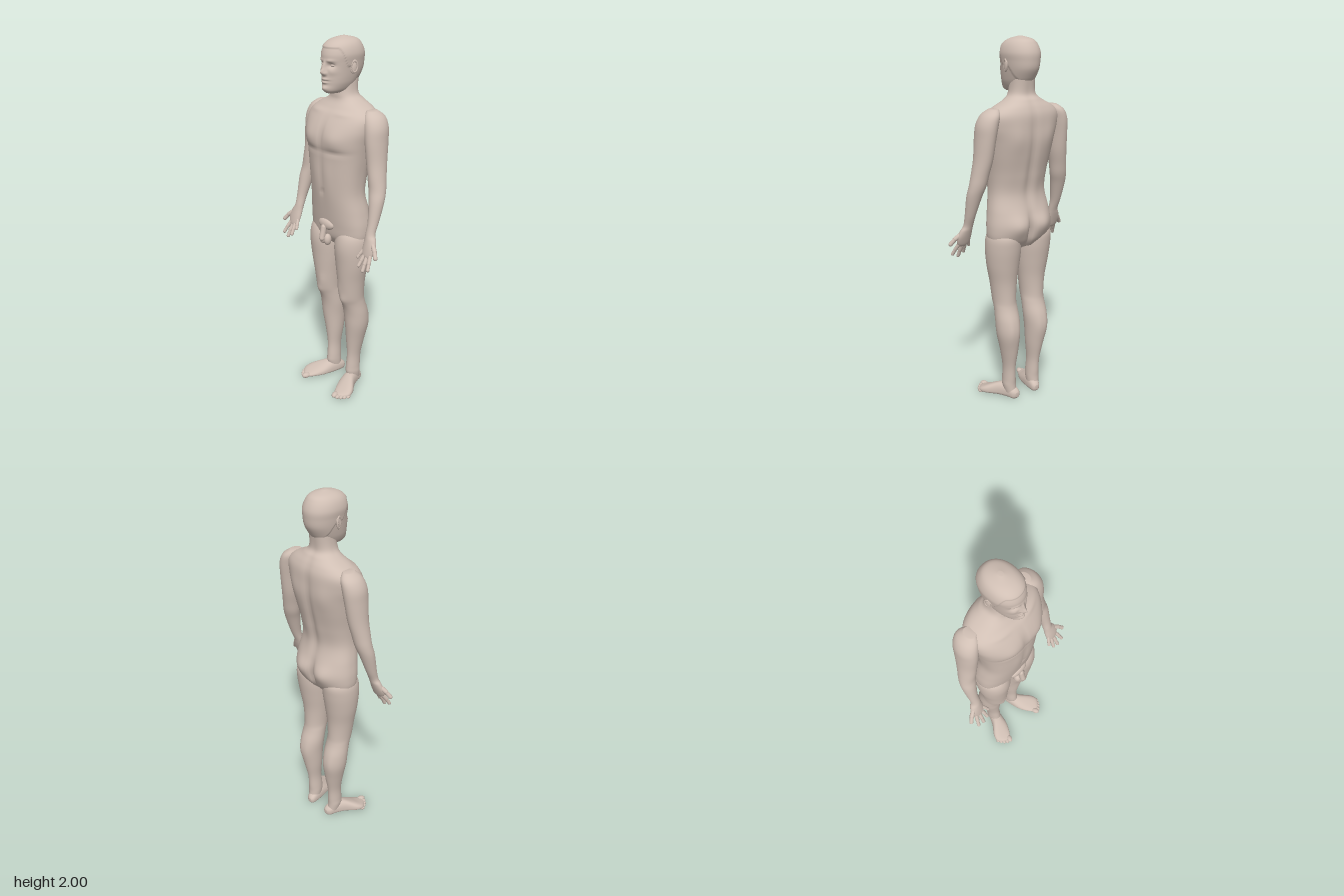
import * as THREE from 'three';

const skin = new THREE.MeshStandardMaterial({ color: 0xd0bfb4 });
skin.name = 'skin';

const spline = (a, b, c, d, t) =>
  0.5 * (2 * b + (c - a) * t + (2 * a - 5 * b + 4 * c - d) * t * t + (3 * b - a - 3 * c + d) * t * t * t);

// Lofts rounded sections [y, centreX, centreZ, halfWidth, frontDepth, backDepth], ordered upwards.
// Bumps [x, y, sizeX, sizeY, push, side] swell or dent the front (1) or the back (-1).
function loft(rows, { power = 2, bumps = [], around = 48, steps = 5 } = {}) {
  const pos = [], index = [];
  const at = (i) => rows[Math.min(Math.max(i, 0), rows.length - 1)];
  const rings = (rows.length - 1) * steps + 1;
  for (let r = 0; r < rings; r++) {
    const i = Math.min(Math.floor(r / steps), rows.length - 2), t = r / steps - i;
    const [y, cx, cz, w, f, b] = rows[0].map((_, k) => spline(at(i - 1)[k], at(i)[k], at(i + 1)[k], at(i + 2)[k], t));
    for (let j = 0; j < around; j++) {
      const a = (j / around) * Math.PI * 2, c = Math.cos(a), s = Math.sin(a);
      const x = cx + w * Math.sign(c) * Math.abs(c) ** (2 / power);
      let z = cz + (s > 0 ? f : b) * Math.sign(s) * Math.abs(s) ** (2 / power);
      for (const [bx, by, sx, sy, push, side] of bumps) {
        const facing = Math.min(1, 2 * Math.max(0, s * side));
        z += side * push * facing * Math.exp(-(((x - bx) / sx) ** 2) - ((y - by) / sy) ** 2);
      }
      pos.push(x, y, z);
    }
  }
  for (let r = 0; r < rings - 1; r++) {
    for (let j = 0; j < around; j++) {
      const a = r * around + j, b = r * around + ((j + 1) % around);
      index.push(a, a + around, b, b, a + around, b + around);
    }
  }
  // end caps
  const low = pos.length / 3, high = low + 1, last = (rings - 1) * around;
  pos.push(rows[0][1], rows[0][0], rows[0][2]);
  const top = rows[rows.length - 1];
  pos.push(top[1], top[0], top[2]);
  for (let j = 0; j < around; j++) {
    const k = (j + 1) % around;
    index.push(low, j, k, high, last + k, last + j);
  }
  const geo = new THREE.BufferGeometry();
  geo.setAttribute('position', new THREE.Float32BufferAttribute(pos, 3));
  geo.setIndex(index);
  geo.computeVertexNormals();
  return geo;
}

function part(parent, name, geo) {
  const mesh = new THREE.Mesh(geo, skin);
  mesh.name = name;
  parent.add(mesh);
  return mesh;
}

function ellipsoid(parent, name, center, radii) {
  const mesh = part(parent, name, new THREE.SphereGeometry(1, 24, 16));
  mesh.position.set(...center);
  mesh.scale.set(...radii);
  return mesh;
}

// Rounded bone between two points
function capsule(parent, name, from, to, radius) {
  const a = new THREE.Vector3(...from), b = new THREE.Vector3(...to), d = b.clone().sub(a);
  const mesh = part(parent, name, new THREE.CapsuleGeometry(radius, d.length(), 6, 14));
  mesh.position.copy(a).add(b).multiplyScalar(0.5);
  mesh.quaternion.setFromUnitVectors(new THREE.Vector3(0, 1, 0), d.normalize());
}

const both = (list) => list.flatMap((b) => [b, [-b[0], ...b.slice(1)]]);

function addTorso(g) {
  part(g, 'torso', loft([
    [0.9, 0, -0.02, 0.15, 0.06, 0.07], [0.95, 0, -0.02, 0.188, 0.095, 0.105],
    [1.02, 0, -0.02, 0.193, 0.108, 0.118], [1.1, 0, -0.015, 0.182, 0.115, 0.112],
    [1.2, 0, 0, 0.165, 0.113, 0.108], [1.3, 0, 0, 0.17, 0.12, 0.125],
    [1.4, 0, -0.01, 0.185, 0.133, 0.138], [1.48, 0, -0.015, 0.2, 0.142, 0.146],
    [1.55, 0, -0.03, 0.215, 0.146, 0.133], [1.61, 0, -0.045, 0.212, 0.13, 0.117],
    [1.65, 0, -0.055, 0.172, 0.105, 0.095], [1.685, 0, -0.055, 0.105, 0.08, 0.075],
    [1.72, 0, -0.048, 0.07, 0.068, 0.06], [1.8, 0, -0.05, 0.062, 0.06, 0.065],
  ], {
    power: 2.3, around: 96, steps: 7,
    bumps: [
      ...both([
        [0.09, 1.5, 0.065, 0.05, 0.013, 1], [0.09, 1.435, 0.07, 0.014, -0.007, 1], // chest
        [0.045, 1.3, 0.03, 0.1, 0.004, 1], [0.1, 1.63, 0.06, 0.012, 0.006, 1], // belly, collarbone
        [0.08, 1.03, 0.06, 0.06, 0.024, -1], [0.1, 1.5, 0.05, 0.08, 0.008, -1], // buttocks, shoulder blades
        [0.045, 1.24, 0.03, 0.1, 0.004, -1],
      ]),
      [0, 1.52, 0.014, 0.07, -0.008, 1], [0, 1.32, 0.01, 0.1, -0.004, 1], [0, 1.21, 0.01, 0.012, -0.008, 1],
      [0, 1.4, 0.022, 0.25, -0.012, -1], [0, 1.0, 0.016, 0.07, -0.03, -1],
    ],
  }));
  // groin
  ellipsoid(g, 'pubicMound', [0, 1.02, 0.085], [0.058, 0.032, 0.022]);
  for (const s of [1, -1]) ellipsoid(g, 'groinSide', [0.017 * s, 0.935, 0.092], [0.02, 0.032, 0.022]);
  capsule(g, 'groinCentre', [0, 1.005, 0.103], [0, 0.945, 0.117], 0.016);
}

function addHead(g) {
  const geo = loft([
    [1.725, 0, 0.03, 0.03, 0.045, 0.06], [1.74, 0, 0, 0.05, 0.092, 0.08],
    [1.77, 0, -0.01, 0.065, 0.102, 0.09], [1.8, 0, -0.02, 0.073, 0.113, 0.1],
    [1.84, 0, -0.03, 0.08, 0.121, 0.11], [1.88, 0, -0.03, 0.085, 0.12, 0.116],
    [1.92, 0, -0.03, 0.088, 0.118, 0.116], [1.96, 0, -0.03, 0.076, 0.1, 0.1],
    [1.985, 0, -0.035, 0.052, 0.068, 0.07], [2, 0, -0.035, 0.01, 0.012, 0.012],
  ], {
    power: 2.15, around: 128, steps: 9,
    bumps: [
      ...both([
        [0.034, 1.866, 0.018, 0.012, -0.013, 1], [0.032, 1.889, 0.022, 0.007, 0.005, 1], // eye sockets, brows
        [0.045, 1.835, 0.018, 0.016, 0.005, 1], [0.012, 1.826, 0.007, 0.008, 0.009, 1], // cheeks, nostrils
      ]),
      [0, 1.834, 0.011, 0.016, 0.026, 1], [0, 1.862, 0.009, 0.02, 0.014, 1], // nose
      [0, 1.797, 0.022, 0.006, 0.008, 1], [0, 1.781, 0.018, 0.006, 0.008, 1], // lips
      [0, 1.789, 0.024, 0.003, -0.006, 1], [0, 1.752, 0.022, 0.012, 0.009, 1], // mouth, chin
    ],
  });
  // close-cropped hair stands slightly proud of the skin
  const p = geo.attributes.position, smooth = THREE.MathUtils.smoothstep;
  for (let i = 0; i < p.count; i++) {
    const x = p.getX(i), y = p.getY(i), z = p.getZ(i);
    const line = 1.78 + 0.08 * smooth(z, -0.1, -0.03) + 0.09 * smooth(z, 0, 0.05);
    const k = 1 + 0.045 * smooth(y, line - 0.003, line + 0.003);
    p.setXYZ(i, x * k, y, (z + 0.03) * k - 0.03);
  }
  geo.computeVertexNormals();
  part(g, 'head', geo);
  for (const s of [1, -1]) {
    ellipsoid(g, 'eye', [0.033 * s, 1.866, 0.066], [0.013, 0.008, 0.01]);
    const ear = ellipsoid(g, 'ear', [0.085 * s, 1.855, -0.027], [0.009, 0.033, 0.018]);
    ear.rotation.set(-0.15, -0.35 * s, 0);
    const rim = part(g, 'earRim', new THREE.TorusGeometry(0.016, 0.004, 8, 24));
    rim.position.set(0.091 * s, 1.858, -0.029);
    rim.rotation.set(0, Math.PI / 2 - 0.3 * s, 0);
    rim.scale.set(1, 1.7, 1);
  }
}

function addArm(g, s) {
  part(g, 'arm', loft([
    [0.918, 0.302, 0.074, 0.018, 0.008, 0.008], [0.932, 0.302, 0.069, 0.035, 0.015, 0.016],
    [0.97, 0.303, 0.057, 0.042, 0.02, 0.021], [1.01, 0.297, 0.044, 0.035, 0.023, 0.023],
    [1.04, 0.289, 0.035, 0.027, 0.024, 0.024], [1.1, 0.288, 0.015, 0.029, 0.03, 0.03],
    [1.2, 0.28, -0.012, 0.041, 0.041, 0.04], [1.26, 0.268, -0.028, 0.046, 0.045, 0.045],
    [1.32, 0.257, -0.036, 0.046, 0.052, 0.05], [1.4, 0.243, -0.045, 0.048, 0.06, 0.058],
    [1.5, 0.234, -0.05, 0.05, 0.069, 0.068], [1.57, 0.225, -0.055, 0.053, 0.07, 0.07],
    [1.62, 0.208, -0.06, 0.046, 0.06, 0.06], [1.65, 0.188, -0.06, 0.025, 0.032, 0.032],
  ].map(([y, x, ...rest]) => [y, x * s, ...rest])));
  // knuckle, middle joint, tip, radius
  const digits = {
    littleFinger: [[0.272, 0.953, 0.066], [0.261, 0.93, 0.08], [0.254, 0.912, 0.09], 0.0095],
    ringFinger: [[0.287, 0.935, 0.07], [0.282, 0.903, 0.09], [0.278, 0.876, 0.106], 0.0105],
    middleFinger: [[0.305, 0.93, 0.07], [0.308, 0.89, 0.092], [0.31, 0.857, 0.108], 0.011],
    indexFinger: [[0.325, 0.938, 0.068], [0.337, 0.902, 0.09], [0.346, 0.872, 0.106], 0.0105],
    thumb: [[0.32, 0.995, 0.05], [0.352, 0.967, 0.066], [0.373, 0.938, 0.08], 0.0125],
  };
  for (const [name, [a, b, c, r]] of Object.entries(digits)) {
    const [p, q, t] = [a, b, c].map(([x, y, z]) => [x * s, y, z]);
    capsule(g, name, p, q, r);
    capsule(g, name + 'Tip', q, t, r * 0.9);
  }
}

function addLeg(g, s) {
  part(g, 'leg', loft([
    [0.03, 0.08, -0.05, 0.03, 0.035, 0.04], [0.08, 0.083, -0.045, 0.036, 0.05, 0.04],
    [0.12, 0.083, -0.042, 0.035, 0.046, 0.044], [0.2, 0.085, -0.045, 0.034, 0.043, 0.045],
    [0.3, 0.089, -0.05, 0.048, 0.055, 0.06], [0.4, 0.097, -0.052, 0.062, 0.067, 0.073],
    [0.48, 0.096, -0.045, 0.067, 0.068, 0.072], [0.55, 0.095, -0.03, 0.064, 0.07, 0.065],
    [0.6, 0.096, -0.015, 0.064, 0.072, 0.073], [0.7, 0.097, -0.01, 0.074, 0.08, 0.08],
    [0.8, 0.1, -0.01, 0.089, 0.09, 0.095], [0.9, 0.101, -0.015, 0.096, 0.103, 0.105],
    [0.97, 0.104, -0.02, 0.085, 0.095, 0.1], [1.02, 0.1, -0.02, 0.05, 0.06, 0.06],
  ].map(([y, x, ...rest]) => [y, x * s, ...rest]), {
    bumps: [
      [0.095 * s, 0.575, 0.03, 0.035, 0.01, 1], [0.07 * s, 0.64, 0.022, 0.04, 0.006, 1], // knee
      [0.07 * s, 0.42, 0.025, 0.07, 0.005, -1], [0.12 * s, 0.43, 0.022, 0.07, 0.005, -1], // calf
    ],
  }));
  // foot lofted from heel to toes, sole down
  part(g, 'foot', loft([
    [-0.105, 0.07, -0.03, 0.012, 0.015, 0.012], [-0.09, 0.073, -0.028, 0.027, 0.026, 0.03],
    [-0.05, 0.08, -0.028, 0.035, 0.027, 0.05], [0, 0.097, -0.026, 0.045, 0.025, 0.054],
    [0.05, 0.124, -0.022, 0.06, 0.021, 0.038], [0.09, 0.14, -0.018, 0.056, 0.017, 0.022],
    [0.12, 0.14, -0.015, 0.036, 0.013, 0.013], [0.135, 0.138, -0.014, 0.02, 0.009, 0.009],
  ].map(([z, x, ...rest]) => [z, x * s, ...rest]), { power: 2.4 }).rotateX(Math.PI / 2));
  const toes = [[0.13, 0.14, 0.017], [0.151, 0.138, 0.012], [0.167, 0.125, 0.0115], [0.18, 0.11, 0.011], [0.19, 0.091, 0.0105]];
  for (const [x, z, r] of toes) {
    ellipsoid(g, 'toe', [x * s, r * 0.9, z], [r, r * 0.9, r * 1.5]).rotation.y = 0.35 * s;
  }
}

export function createModel() {
  const model = new THREE.Group();
  model.name = 'standingFigure';
  addTorso(model);
  addHead(model);
  for (const s of [1, -1]) {
    const side = new THREE.Group();
    side.name = s > 0 ? 'leftLimbs' : 'rightLimbs';
    addArm(side, s);
    addLeg(side, s);
    model.add(side);
  }
  return model;
}
